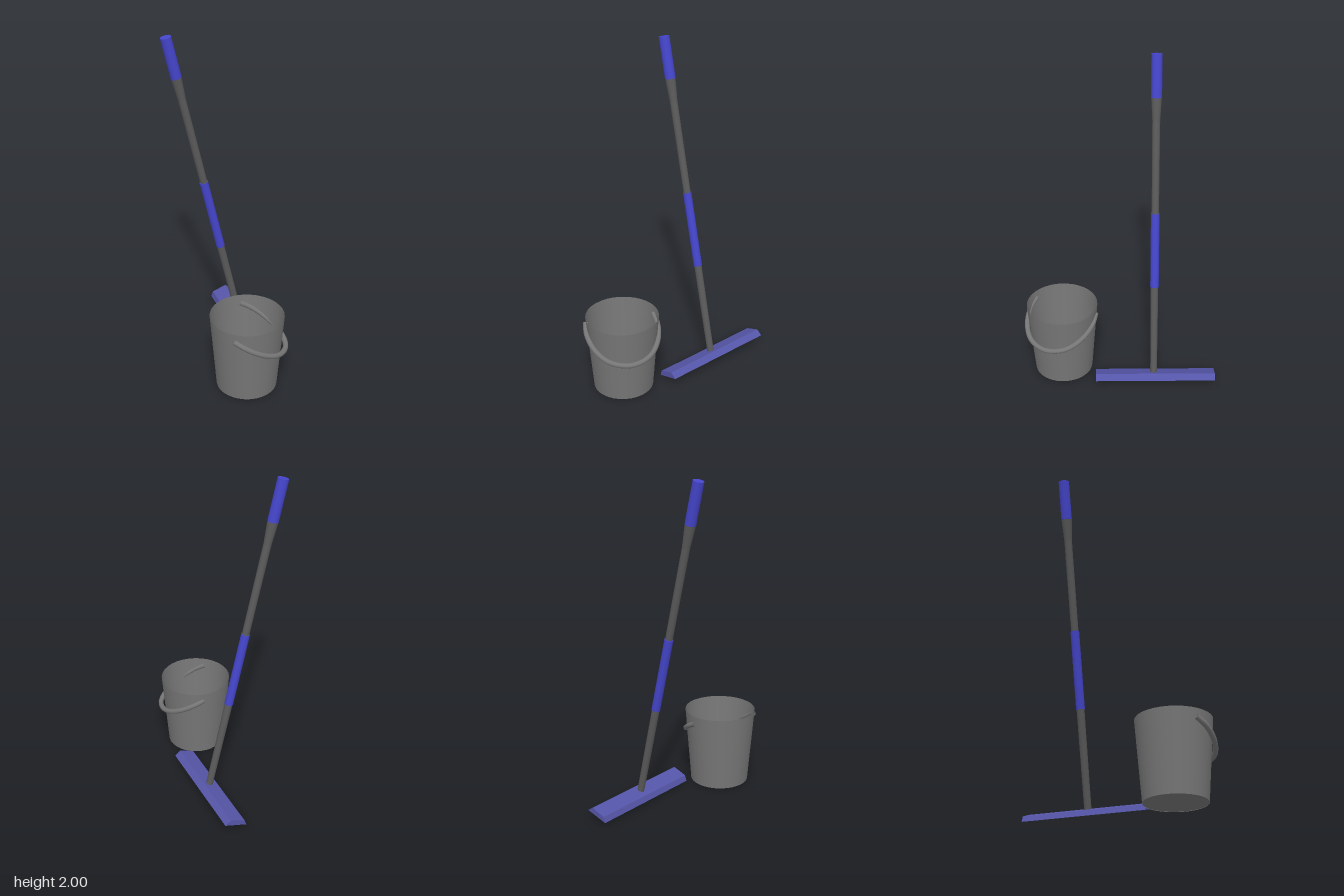
import * as THREE from 'three';

const material = (color, side = THREE.FrontSide) => new THREE.MeshStandardMaterial({ color, side });

export function createModel() {
  const model = new THREE.Group();
  const bucketGrey = material(0x777777, THREE.DoubleSide);
  const poleGrey = material(0x5a5a5a);
  const gripBlue = material(0x4545cc);
  const headBlue = material(0x5555a8);

  const add = (parent, name, geometry, mat) => {
    const mesh = new THREE.Mesh(geometry, mat);
    mesh.name = name;
    parent.add(mesh);
    return mesh;
  };

  // Bucket: thin open shell, floor and a lowered carrying handle
  const bucket = new THREE.Group();
  bucket.name = 'bucket';
  bucket.position.set(0.137, 0, 0.365);
  model.add(bucket);
  add(bucket, 'bucketWall', new THREE.CylinderGeometry(0.218, 0.18, 0.47, 32, 1, true), bucketGrey)
    .position.y = 0.235;
  const floor = add(bucket, 'bucketFloor', new THREE.CircleGeometry(0.18, 32), bucketGrey);
  floor.rotation.x = Math.PI / 2;
  floor.position.y = 0.002;

  // Half of the handle's path, mirrored front to back
  const half = [[-0.057, 0.42, 0.207], [0.015, 0.382, 0.216], [0.112, 0.327, 0.188], [0.193, 0.283, 0.115]];
  const path = [
    ...half.map(([x, y, z]) => new THREE.Vector3(x, y, z + 0.003)),
    new THREE.Vector3(0.228, 0.267, 0.003),
    ...half.slice().reverse().map(([x, y, z]) => new THREE.Vector3(x, y, 0.003 - z)),
  ];
  add(bucket, 'bucketHandle',
    new THREE.TubeGeometry(new THREE.CatmullRomCurve3(path), 40, 0.016, 8, false), bucketGrey);

  // Leaning pole: stacked sections given by height and radius along one axis
  const mop = new THREE.Group();
  mop.name = 'mop';
  model.add(mop);
  const pole = new THREE.Group();
  pole.name = 'pole';
  const foot = new THREE.Vector3(0.048, 0.06, -0.218);
  const tip = new THREE.Vector3(-0.355, 1.992, -0.035);
  const axis = tip.clone().sub(foot);
  const length = axis.length();
  pole.position.copy(foot);
  pole.quaternion.setFromUnitVectors(new THREE.Vector3(0, 1, 0), axis.normalize());
  mop.add(pole);
  const sections = [
    ['lowerPole', 0.06, 0.62, 0.021, 0.023, poleGrey],
    ['middleGrip', 0.62, 1.075, 0.026, 0.026, gripBlue],
    ['upperPole', 1.075, 1.62, 0.022, 0.023, poleGrey],
    ['poleTaper', 1.62, 1.75, 0.023, 0.031, poleGrey],
    ['topGrip', 1.75, 1.992, 0.032, 0.032, gripBlue],
  ];
  const along = (y) => ((y - foot.y) / (tip.y - foot.y)) * length;
  for (const [name, y0, y1, r0, r1, mat] of sections) {
    const a = along(y0), b = along(y1);
    add(pole, name, new THREE.CylinderGeometry(r1, r0, b - a, 14), mat).position.y = (a + b) / 2;
  }

  // Tilted wedge-shaped head, long and straight
  const section = new THREE.Shape([[-0.069, 0.01], [0.069, 0.05], [0.032, 0.077], [-0.057, 0.045]]
    .map(([x, y]) => new THREE.Vector2(x, y)));
  const headGeometry = new THREE.ExtrudeGeometry(section, { depth: 0.74, bevelEnabled: false });
  headGeometry.translate(0, 0, -0.37);
  const head = add(mop, 'head', headGeometry, headBlue);
  head.position.set(0.049, 0, -0.229);
  head.rotation.y = 0.438;

  return model;
}
